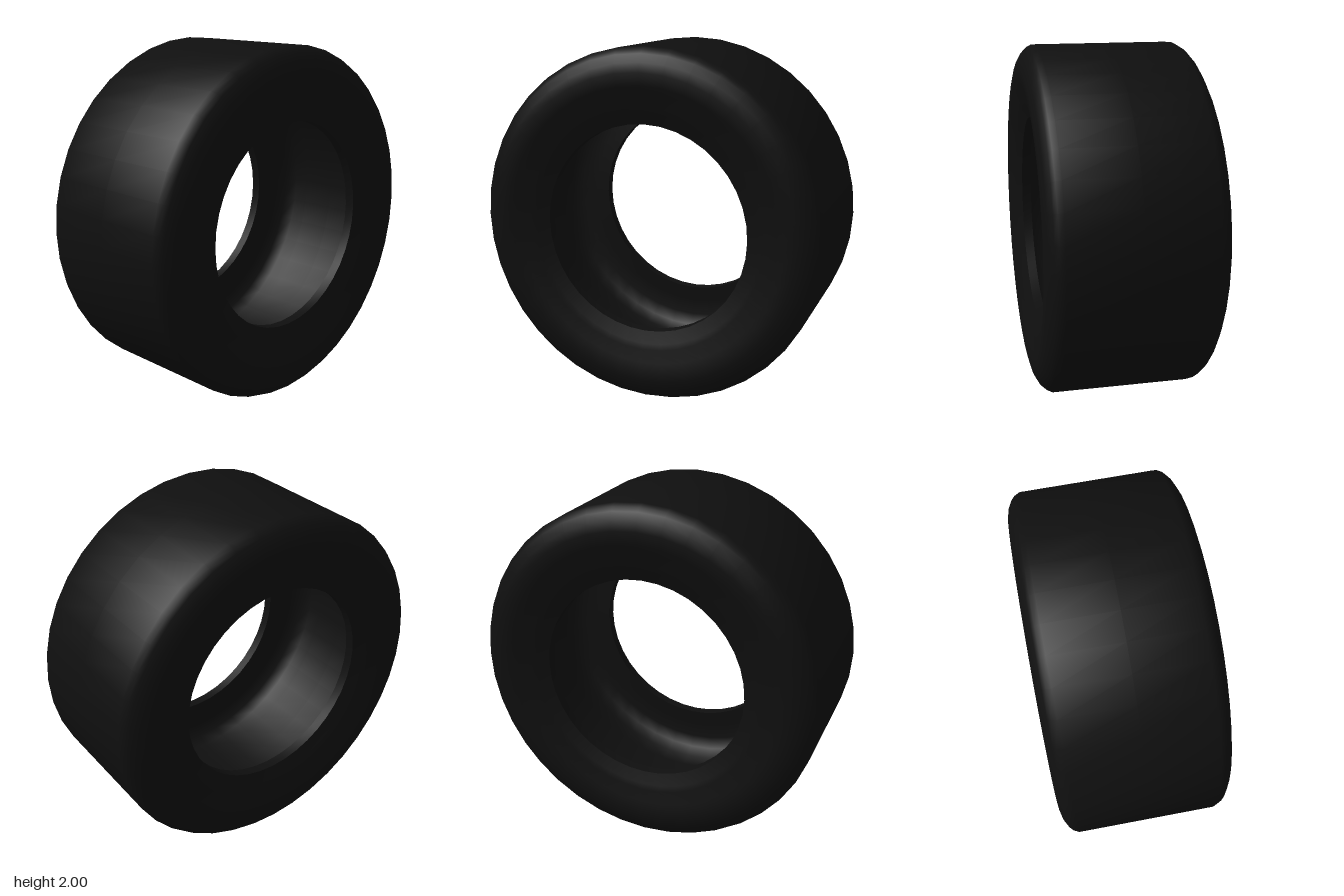
import * as THREE from 'three';
import { toCreasedNormals } from 'three/addons/utils/BufferGeometryUtils.js';

const SEGMENTS = 40;

// Half cross-sections as [radius, distance from the centre plane]
const OUTER = [[1, 0], [1, 0.39], [0.985, 0.42], [0.965, 0.44], [0.92, 0.465], [0.87, 0.477],
  [0.8, 0.475], [0.77, 0.462], [0.69, 0.452], [0.66, 0.44], [0.59, 0.415]];
const INNER = [[0.59, 0.36], [0.68, 0.37], [0.78, 0.375], [0.85, 0.35], [0.89, 0.29], [0.9, 0.2], [0.9, 0]];

export function createModel() {
  const group = new THREE.Group();
  group.name = 'tyre';
  const rubber = new THREE.MeshStandardMaterial({ color: 0x0f0f0f });
  rubber.name = 'black rubber';

  // Closed loop: up the outside, over the bead, back along the hollow inside
  const half = [...OUTER, ...INNER];
  const mirrored = half.map(([r, x]) => [r, -x]).reverse();
  const loop = [...mirrored, ...half.slice(1)];
  const profile = loop.map(([r, x]) => new THREE.Vector2(r, x));

  const geometry = toCreasedNormals(new THREE.LatheGeometry(profile, SEGMENTS), 0.8);
  const tyre = new THREE.Mesh(geometry, rubber);
  tyre.name = 'tyreCarcass';
  tyre.rotation.z = -Math.PI / 2; // axle along x
  tyre.position.y = 1;
  group.add(tyre);
  return group;
}
